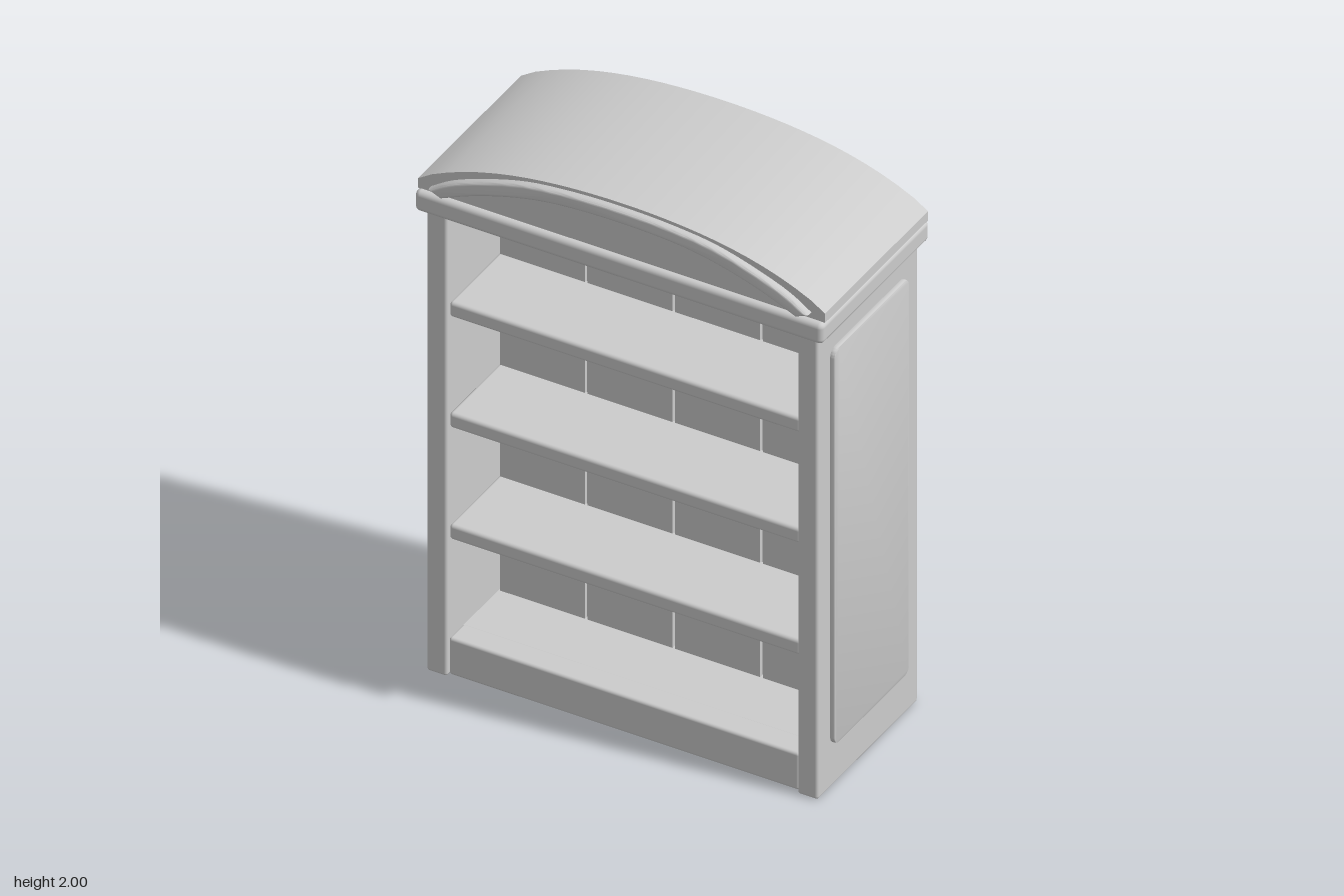
import * as THREE from 'three';
import { toCreasedNormals } from 'three/addons/utils/BufferGeometryUtils.js';
import { RoundedBoxGeometry } from 'three/addons/geometries/RoundedBoxGeometry.js';

const grey = new THREE.MeshStandardMaterial({ color: 0xcccccc });
grey.name = 'plain grey';

export function createModel() {
  const model = new THREE.Group();
  model.name = 'bookcase';

  const add = (name, geometry) => {
    const mesh = new THREE.Mesh(geometry, grey);
    mesh.name = name;
    model.add(mesh);
    return mesh;
  };

  // Box given by its limits; a radius softens the edges
  const board = (name, [x0, x1], [y0, y1], [z0, z1], r = 0) => {
    const size = [x1 - x0, y1 - y0, z1 - z0];
    let g = new THREE.BoxGeometry(...size);
    if (r) g = new RoundedBoxGeometry(...size, 3, r);
    add(name, g).position.set((x0 + x1) / 2, (y0 + y1) / 2, (z0 + z1) / 2);
  };

  // Side walls, each with a raised panel
  const w = 0.46, h = 1.48, r = 0.03;
  const panel = new THREE.Shape();
  panel.moveTo(-w / 2 + r, -h / 2);
  panel.absarc(w / 2 - r, -h / 2 + r, r, -Math.PI / 2, 0);
  panel.absarc(w / 2 - r, h / 2 - r, r, 0, Math.PI / 2);
  panel.absarc(-w / 2 + r, h / 2 - r, r, Math.PI / 2, Math.PI);
  panel.absarc(-w / 2 + r, -h / 2 + r, r, Math.PI, Math.PI * 1.5);
  const panelGeometry = toCreasedNormals(new THREE.ExtrudeGeometry(panel, {
    depth: 0.012, curveSegments: 5, bevelThickness: 0.006, bevelSize: 0.006,
    bevelOffset: -0.006, bevelSegments: 2,
  }), 0.6);
  for (const [side, s] of [['left', 1], ['right', -1]]) {
    const xs = s > 0 ? [0.62, 0.692] : [-0.692, -0.62];
    board(side + 'Wall', xs, [0.005, 1.74], [-0.312, 0.302], 0.01);
    const mesh = add(side + 'RaisedPanel', panelGeometry);
    mesh.rotation.y = s * Math.PI / 2;
    mesh.position.set(s * 0.69, 0.905, -0.005);
  }

  // Deep back with four planks separated by grooves
  board('back', [-0.625, 0.625], [0.025, 1.74], [-0.308, -0.03]);
  for (let i = 0; i < 4; i++) {
    const x = -0.62 + i * 0.31;
    board('backPlank', [x + 0.005, x + 0.305], [0.1, 1.74], [-0.035, -0.015]);
  }

  // Base and shelves
  board('floor', [-0.62, 0.62], [0.01, 0.138], [-0.03, 0.27]);
  board('plinth', [-0.62, 0.62], [0.008, 0.146], [0.2, 0.29], 0.01);
  for (const y of [0.51, 0.928, 1.343]) {
    board('shelf', [-0.622, 0.622], [y, y + 0.056], [-0.03, 0.285], 0.012);
  }

  // Cornice
  board('cornice', [-0.722, 0.722], [1.73, 1.806], [-0.333, 0.327], 0.018);

  // Arched top
  const arch = new THREE.Shape();
  arch.moveTo(-0.72, 1.805);
  arch.lineTo(0.72, 1.805);
  arch.lineTo(0.72, 1.84);
  for (let i = 12; i >= -12; i--) {
    const x = i * 0.67 / 12;
    arch.lineTo(x, 2 - 0.19 * x * x - 0.21 * x ** 4);
  }
  arch.lineTo(-0.72, 1.84);
  const archGeometry = new THREE.ExtrudeGeometry(arch, { depth: 0.63, bevelEnabled: false });
  archGeometry.translate(0, 0, -0.325);
  add('archedTop', toCreasedNormals(archGeometry, 0.3));

  // Curved moulding on the front of the arch
  const curve = (half) => new THREE.SplineCurve([
    ...half.slice(1).reverse().map(([x, y]) => new THREE.Vector2(-x, y)),
    ...half.map(([x, y]) => new THREE.Vector2(x, y)),
  ]).getPoints(40);
  const outer = curve([[0, 1.988], [0.2, 1.98], [0.37, 1.955], [0.57, 1.888], [0.672, 1.828]]);
  const inner = curve([[0, 1.94], [0.2, 1.932], [0.35, 1.907], [0.5, 1.862], [0.628, 1.808]]);
  const bead = new THREE.Shape([...inner, ...outer.reverse()]);
  const beadGeometry = new THREE.ExtrudeGeometry(bead, {
    depth: 0.018, bevelThickness: 0.01, bevelSize: 0.01, bevelOffset: -0.01, bevelSegments: 3,
  });
  beadGeometry.translate(0, 0, 0.303);
  add('archMoulding', toCreasedNormals(beadGeometry, 0.6));

  return model;
}
